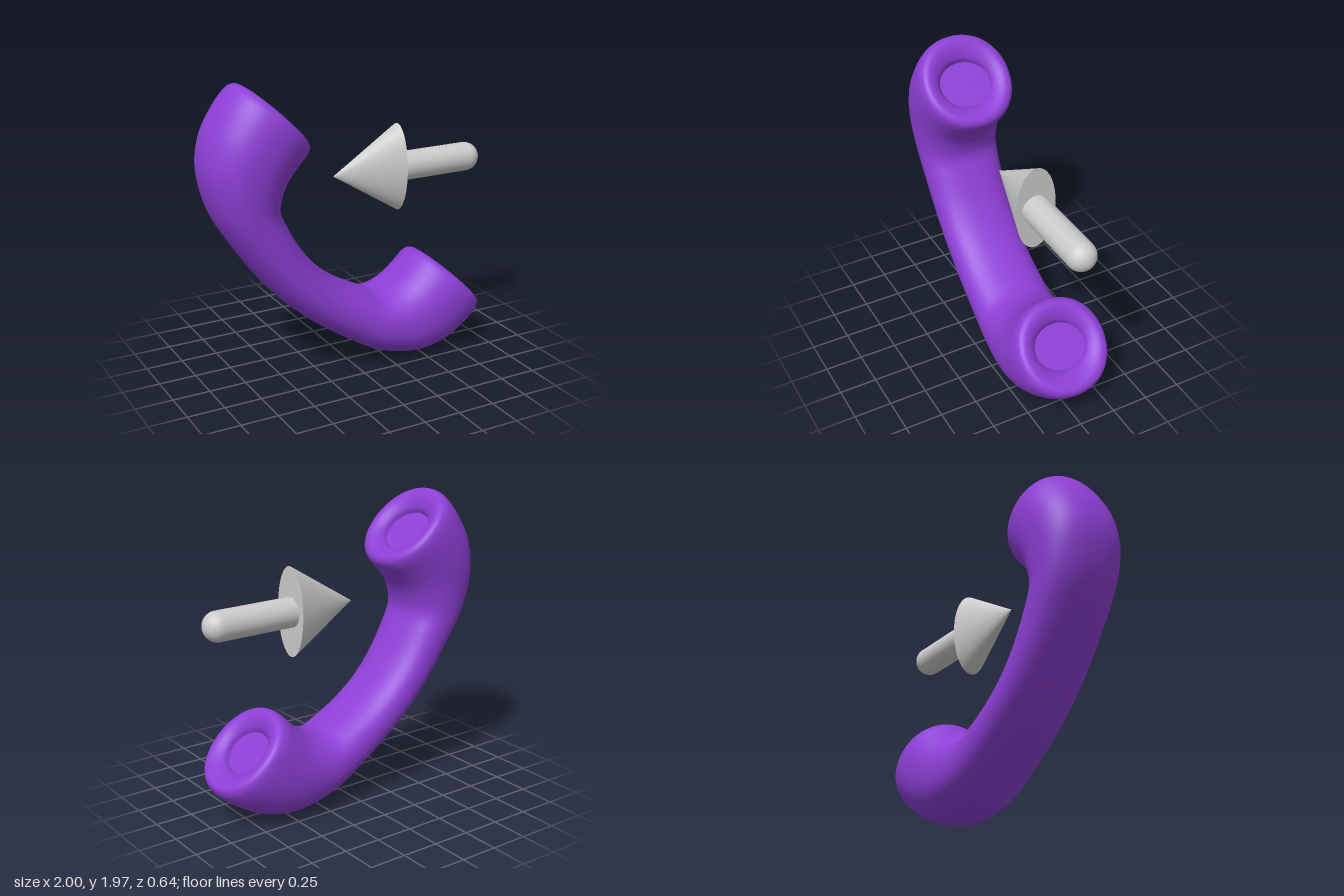
import * as THREE from 'three';

const purple = new THREE.MeshStandardMaterial({ color: 0x8e3fd6 });
const grey = new THREE.MeshStandardMaterial({ color: 0xcccccc });

// Half of the handset, from the middle of the grip to the dimple in the cup:
// inner edge (u, v), outer edge (u, v), half width, roundness exponent
const HALF = [
  [0, -0.535, 0, -0.85, 0.26, 2.3],
  [0.2, -0.515, 0.24, -0.835, 0.262, 2.3],
  [0.38, -0.465, 0.53, -0.785, 0.268, 2.3],
  [0.49, -0.42, 0.8, -0.71, 0.278, 2.3],
  [0.55, -0.34, 1.03, -0.565, 0.297, 2.3],
  [0.58, -0.25, 1.16, -0.39, 0.312, 2.25],
  [0.588, -0.15, 1.215, -0.21, 0.318, 2.2],
  [0.587, -0.07, 1.23, -0.08, 0.315, 2.15],
  [0.6, -0.02, 1.215, -0.02, 0.3, 2.1],
  [0.635, 0, 1.18, 0, 0.265, 2.05],
  [0.685, -0.012, 1.125, -0.012, 0.222, 2],
  [0.73, -0.045, 1.07, -0.045, 0.186, 2],
  [0.75, -0.08, 1.05, -0.08, 0.175, 2],
];

// Loft of rounded sections through the mirrored list
function handsetGeometry(steps, sides) {
  const mirrored = HALF.slice(1).reverse().map(([a, b, c, d, w, n]) => [-a, b, -c, d, w, n]);
  const keys = [...mirrored, ...HALF];
  const spline = (f) => new THREE.CatmullRomCurve3(keys.map(f), false, 'catmullrom', 0.5);
  const inner = spline((k) => new THREE.Vector3(k[0], k[1], 0));
  const outer = spline((k) => new THREE.Vector3(k[2], k[3], 0));
  const size = spline((k) => new THREE.Vector3(k[4], k[5], 0));
  const bend = (value, n) => Math.sign(value) * Math.abs(value) ** (2 / n);

  const positions = [];
  const index = [];
  for (let i = 0; i <= steps; i++) {
    const t = i / steps;
    const a = inner.getPoint(t);
    const b = outer.getPoint(t);
    const { x: w, y: n } = size.getPoint(t);
    for (let j = 0; j < sides; j++) {
      const angle = (j / sides) * Math.PI * 2;
      const p = a.clone().lerp(b, 0.5 + 0.5 * bend(Math.cos(angle), n));
      positions.push(p.x, p.y, w * bend(Math.sin(angle), n));
      if (i < steps) {
        const k = (j + 1) % sides;
        const p0 = i * sides + j, p1 = i * sides + k;
        index.push(p0, p0 + sides, p1, p1, p0 + sides, p1 + sides);
      }
    }
  }
  const geometry = new THREE.BufferGeometry();
  geometry.setAttribute('position', new THREE.Float32BufferAttribute(positions, 3));
  geometry.setIndex(index);
  geometry.computeVertexNormals();
  return geometry;
}

function addMesh(parent, name, geometry, material) {
  const mesh = new THREE.Mesh(geometry, material);
  mesh.name = name;
  parent.add(mesh);
  return mesh;
}

export function createModel() {
  const model = new THREE.Group();
  model.name = 'incomingCall';

  // Handset, tilted so both cups face up and to the side
  const handset = new THREE.Group();
  handset.name = 'handset';
  handset.position.set(0.125, 1.135, 0);
  handset.rotation.z = -Math.PI / 4;
  model.add(handset);
  addMesh(handset, 'handsetBody', handsetGeometry(192, 64), purple);

  // Flat floors of the two dimples
  for (const [name, side] of [['earpieceFloor', -1], ['mouthpieceFloor', 1]]) {
    const floor = addMesh(handset, name, new THREE.CircleGeometry(1, 64), purple);
    floor.rotation.x = -Math.PI / 2;
    floor.scale.set(0.15, 0.175, 1);
    floor.position.set(side * 0.9, -0.08, 0);
  }

  // Arrow pointing at the handset
  const arrow = new THREE.Group();
  arrow.name = 'arrow';
  arrow.position.y = 1.315;
  model.add(arrow);

  const head = addMesh(arrow, 'arrowHead', new THREE.ConeGeometry(0.295, 0.475, 64), grey);
  head.rotation.z = Math.PI / 2;
  head.scale.z = 0.14 / 0.295;
  head.position.x = 0.1375;

  // Shaft with a domed tail
  const r = 0.097;
  const profile = [new THREE.Vector2(r, 0)];
  const straight = 0.68 - r;
  for (let i = 0; i <= 16; i++) {
    const a = (i / 16) * Math.PI / 2;
    profile.push(new THREE.Vector2(r * Math.cos(a), straight + r * Math.sin(a)));
  }
  const shaft = addMesh(arrow, 'arrowShaft', new THREE.LatheGeometry(profile, 48), grey);
  shaft.rotation.z = -Math.PI / 2;
  shaft.position.x = 0.32;

  return model;
}
